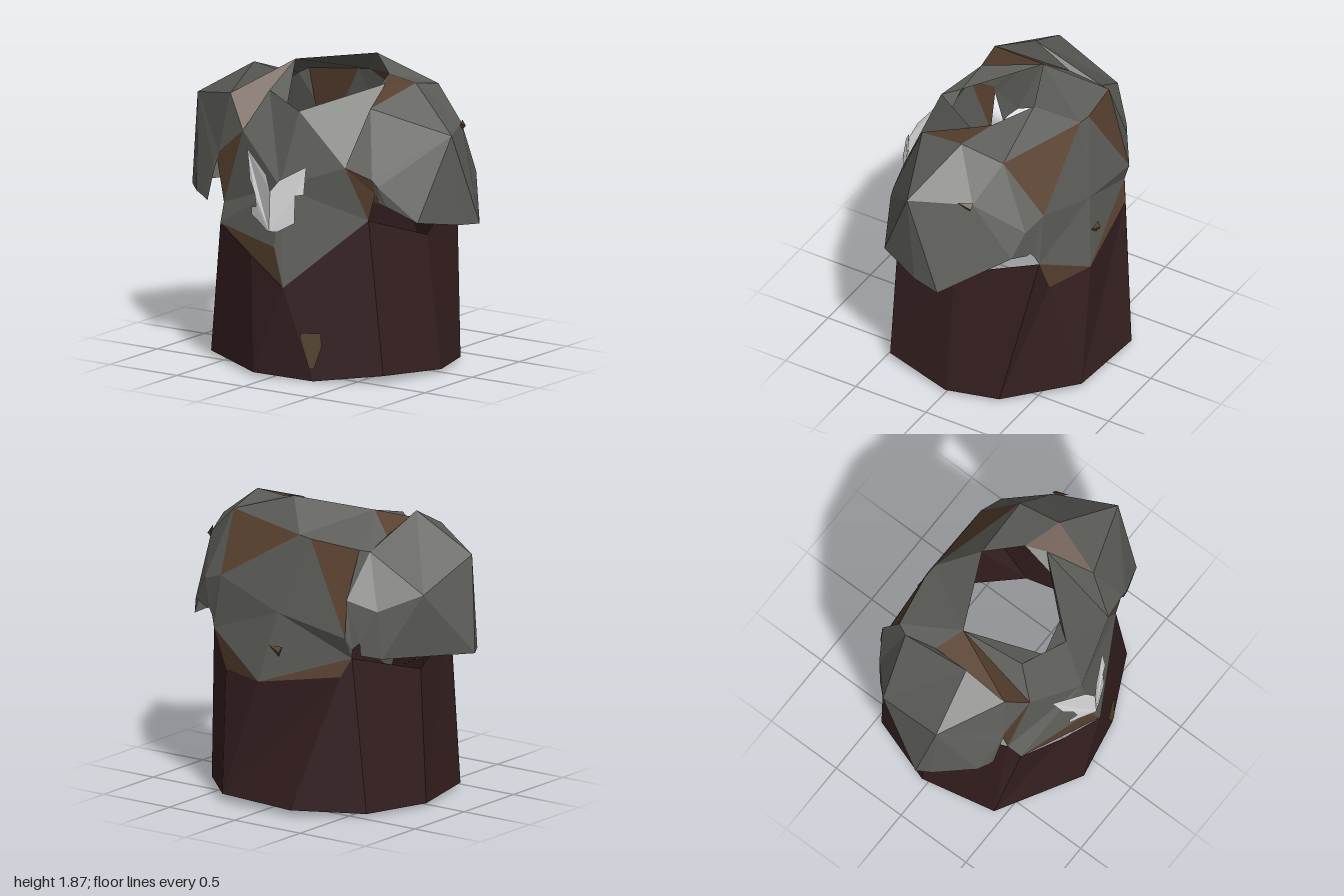
import * as THREE from 'three';

const mat = (name, color) => new THREE.MeshStandardMaterial({ name, color, side: THREE.DoubleSide });

// Faceted surface from a list of triangles, each a trio of points
function facets(name, material, tris) {
  const g = new THREE.BufferGeometry();
  g.setAttribute('position', new THREE.Float32BufferAttribute(tris.flat(2), 3));
  g.computeVertexNormals();
  const mesh = new THREE.Mesh(g, material);
  mesh.name = name;
  return mesh;
}

// Triangles around a hub, along a rim of points
const fan = (hub, rim) => rim.slice(1).map((p, i) => [hub, rim[i], p]);

// Points moved back along z
const setBack = (points, d) => points.map(([x, y, z]) => [x, y, z - d]);

// Triangles between two rows of equal length, skipping those with a repeated corner
function strip(a, b) {
  const tris = [];
  for (let i = 0; i + 1 < a.length; i++) {
    tris.push([a[i], a[i + 1], b[i + 1]], [a[i], b[i + 1], b[i]]);
  }
  return tris.filter(([p, q, r]) => p !== q && q !== r && r !== p);
}

export function createModel() {
  const grey = mat('grey cloth', 0x5e5f5a);
  const maroon = mat('maroon cloth', 0x351f20);
  const brown = mat('brown lining', 0x5a4231);
  const silver = mat('silver plate', 0xd8d8d8);
  const bronze = mat('bronze patch', 0x564430);
  const model = new THREE.Group();
  model.name = 'tunic';

  // Points shared by the skirt and the chest
  const chestR = [-0.53, 0.98, 0.46], hemR = [-0.5, 0.87, 0.54], hemMid = [0, 0.81, 0.68];
  const tip = [0.08, 0.57, 0.7], chestL = [0.55, 1.01, 0.46];
  const backL = [0.52, 1.03, -0.52], backTip = [0.1, 0.78, -0.63], backR = [-0.52, 1.0, -0.5];
  const lowL = [0.42, 0.79, -0.53], lowR = [-0.46, 0.88, -0.54];

  // Skirt: hem and top edge, counter-clockwise from the front
  const b = [
    [-0.12, 0.02, 0.73], [0.27, 0, 0.65], [0.66, 0.05, 0.46], [0.77, 0.02, 0], [0.68, 0.02, -0.33],
    [0.32, 0.05, -0.7], [-0.22, 0.04, -0.73], [-0.6, 0.02, -0.46], [-0.74, 0.02, -0.04], [-0.64, 0.03, 0.44],
  ];
  const hem = [b[0], b[1], b[2], b[3], b[4], b[5], b[5], b[6], b[7], b[8], b[9], b[9], b[0]];
  const midFront = [-0.2, 0.715, 0.64];
  const top = [midFront, tip, chestL, [0.66, 0.85, 0], backL, lowL, backTip, lowR, backR,
    [-0.69, 0.86, -0.03], chestR, hemR, midFront];
  const frontLining = [hemR, tip, hemMid];
  model.add(facets('skirt', maroon, [...strip(hem, top), setBack(frontLining, 0.012)]));

  // Brown lining below the grey cloth
  model.add(facets('liningHem', brown, [frontLining, [backL, lowL, backTip], [backTip, lowR, backR]]));

  // Neck ring and shoulder points
  const neckR = [-0.34, 1.81, -0.03], neckFR = [-0.26, 1.7, 0.36], neckF = [0.04, 1.63, 0.47];
  const neckFL = [0.39, 1.77, 0.05], neckL = [0.33, 1.8, -0.07], neckB = [0.12, 1.87, -0.24];
  const armR = [-0.36, 1.46, 0.5], armL = [0.41, 1.33, 0.51];
  const yokeB = [-0.08, 1.7, -0.45], yokeR = [-0.17, 1.69, -0.455], seamR = [-0.5, 1.66, -0.4];
  const seamLowR = [-0.5, 1.13, -0.545], dipR = [-0.5, 1.69, -0.12];

  // Sleeve rows run from the front of the armhole, over the shoulder, to the back
  const innerL = [[0.6, 1.18, 0.46], [0.59, 1.27, 0.48], [0.48, 1.68, 0.34], [0.58, 1.79, 0],
    [0.55, 1.73, -0.28], [0.47, 1.37, -0.52], [0.55, 1.1, -0.5]];
  const innerR = [[-0.58, 1.24, 0.46], [-0.57, 1.29, 0.46], [-0.51, 1.66, 0.42], [-0.53, 1.8, 0.14],
    [-0.53, 1.64, -0.33], [-0.5, 1.37, -0.53], [-0.53, 1.06, -0.51]];
  const peakL = [0.96, 1.54, 0.16], peakR = [-0.91, 1.57, 0.2];
  const midL = [[0.615, 1.155, 0.46], [0.63, 1.23, 0.475], peakL, peakL,
    [0.78, 1.53, -0.2], [0.62, 1.32, -0.48], [0.58, 1.14, -0.49]];
  const midR = [[-0.61, 1.15, 0.46], [-0.61, 1.22, 0.46], peakR, peakR,
    [-0.87, 1.4, -0.24], [-0.66, 1.3, -0.43], [-0.57, 1.1, -0.49]];
  const cuffL = [[0.63, 1.13, 0.46], [0.68, 1.11, 0.45], [0.86, 1.02, 0.38], [0.97, 0.97, 0.1],
    [1, 0.95, -0.08], [0.72, 1.17, -0.44], [0.6, 1.13, -0.48]];
  const cuffR = [[-0.66, 0.97, 0.45], [-0.7, 0.99, 0.44], [-0.77, 1.01, 0.41], [-0.95, 0.99, 0.2],
    [-1, 0.98, 0.11], [-0.68, 1.0, -0.41], [-0.57, 1.02, -0.48]];
  model.add(facets('leftSleeve', grey, [...strip(innerL, midL), ...strip(midL, cuffL)]));
  model.add(facets('rightSleeve', grey, [
    ...strip(innerR, midR), ...strip(midR, cuffR),
    [innerR[2], innerR[3], dipR], [dipR, innerR[3], innerR[4]],
  ]));

  // Chest panel, joined to the front of each shoulder
  model.add(facets('chest', grey, [
    ...fan([0, 1.18, 0.62], [neckF, neckFR, armR, chestR, hemR, hemMid, tip, chestL, armL, neckF]),
    [neckR, armR, neckFR], [neckF, armL, neckFL], [neckFL, armL, innerL[2]],
    [armL, innerL[1], innerL[2]], [armR, innerR[2], innerR[1]],
  ]));

  // Folded edge inside the collar
  const foldR = [-0.1, 1.6, 0.41], foldF = [0.13, 1.6, 0.35], foldL = [0.32, 1.68, 0.13];
  model.add(facets('collarFold', grey, [
    [neckR, neckFR, foldR], [foldR, neckFR, neckF], [foldR, neckF, foldF],
    [foldF, neckF, neckFL], [foldF, neckFL, foldL], [foldL, neckFL, neckL],
  ]));

  // Back panel and yoke
  model.add(facets('back', grey, [
    ...fan([0, 1.22, -0.565], [innerL[5], yokeB, yokeR, seamLowR, backR, backTip, backL, innerL[5]]),
    [neckB, innerL[4], yokeB], [neckB, neckL, innerL[4]], [neckL, innerL[3], innerL[4]],
    [neckB, yokeB, neckR], [neckR, yokeB, yokeR], [neckR, yokeR, seamR],
    [neckR, seamR, innerR[4]], [neckR, innerR[4], dipR],
    [innerL[5], innerL[6], backL], [seamLowR, backR, innerR[6]], [seamLowR, innerR[6], innerR[5]],
    [seamR, innerR[5], innerR[4]], [seamR, seamLowR, innerR[5]],
  ]));

  // Brown shoulder seams
  model.add(facets('leftSeam', brown, [
    [chestL, innerL[0], armL], [armL, innerL[0], innerL[1]], [neckFL, innerL[2], innerL[3]],
    [neckFL, innerL[3], neckL], [yokeB, innerL[4], innerL[5]],
  ]));
  model.add(facets('rightSeam', brown, [
    [chestR, armR, innerR[0]], [armR, innerR[1], innerR[0]],
    [armR, neckR, innerR[2]], [neckR, dipR, innerR[2]], [yokeR, seamR, seamLowR],
  ]));

  // Chest plate: two flat halves bent back from the middle
  const halves = [
    [[-0.26, 1.38], [-0.21, 1.2], [-0.15, 1.13], [-0.13, 1.05], [-0.18, 1.04], [-0.18, 0.99],
      [-0.12, 0.97], [-0.02, 0.92], [0, 0.92], [0, 1.17], [-0.05, 1.26]],
    [[0, 0.92], [0.05, 0.92], [0.15, 0.98], [0.15, 1.15], [0.2, 1.16], [0.2, 1.33], [0.05, 1.24], [0, 1.17]],
  ];
  const shapes = halves.map((half) => new THREE.Shape(half.map(([x, y]) => new THREE.Vector2(x, y))));
  const plate = new THREE.ShapeGeometry(shapes).toNonIndexed();
  const pos = plate.attributes.position;
  for (let i = 0; i < pos.count; i++) {
    pos.setZ(i, 0.735 - 0.15 * Math.max(0, pos.getY(i) - 1.1) - 0.38 * Math.abs(pos.getX(i)));
  }
  plate.computeVertexNormals();
  const chestPlate = new THREE.Mesh(plate, silver);
  chestPlate.name = 'chestPlate';
  model.add(chestPlate);

  // Small patch, showing outside and inside the skirt
  const patch = fan([0.25, 0.08, 0.665],
    [[0.28, 0.08, 0.655], [0.32, 0.22, 0.63], [0.31, 0.3, 0.626], [0.2, 0.3, 0.677], [0.19, 0.27, 0.68]]);
  model.add(facets('skirtPatch', bronze, [...patch, ...patch.map((t) => setBack(t, 0.03))]));

  // Small tears on the left sleeve and the back
  const tears = [['sleeveTear', [0.81, 1.53, -0.16], Math.PI / 2 + 0.4], ['backTear', [0, 1.0, -0.6], Math.PI]];
  for (const [name, at, turn] of tears) {
    const tear = new THREE.Mesh(new THREE.ConeGeometry(0.04, 0.09, 3).toNonIndexed(), brown);
    tear.geometry.computeVertexNormals();
    tear.scale.z = 0.4;
    tear.position.set(...at);
    tear.rotation.set(0, turn, 1.2);
    tear.name = name;
    model.add(tear);
  }
  return model;
}
